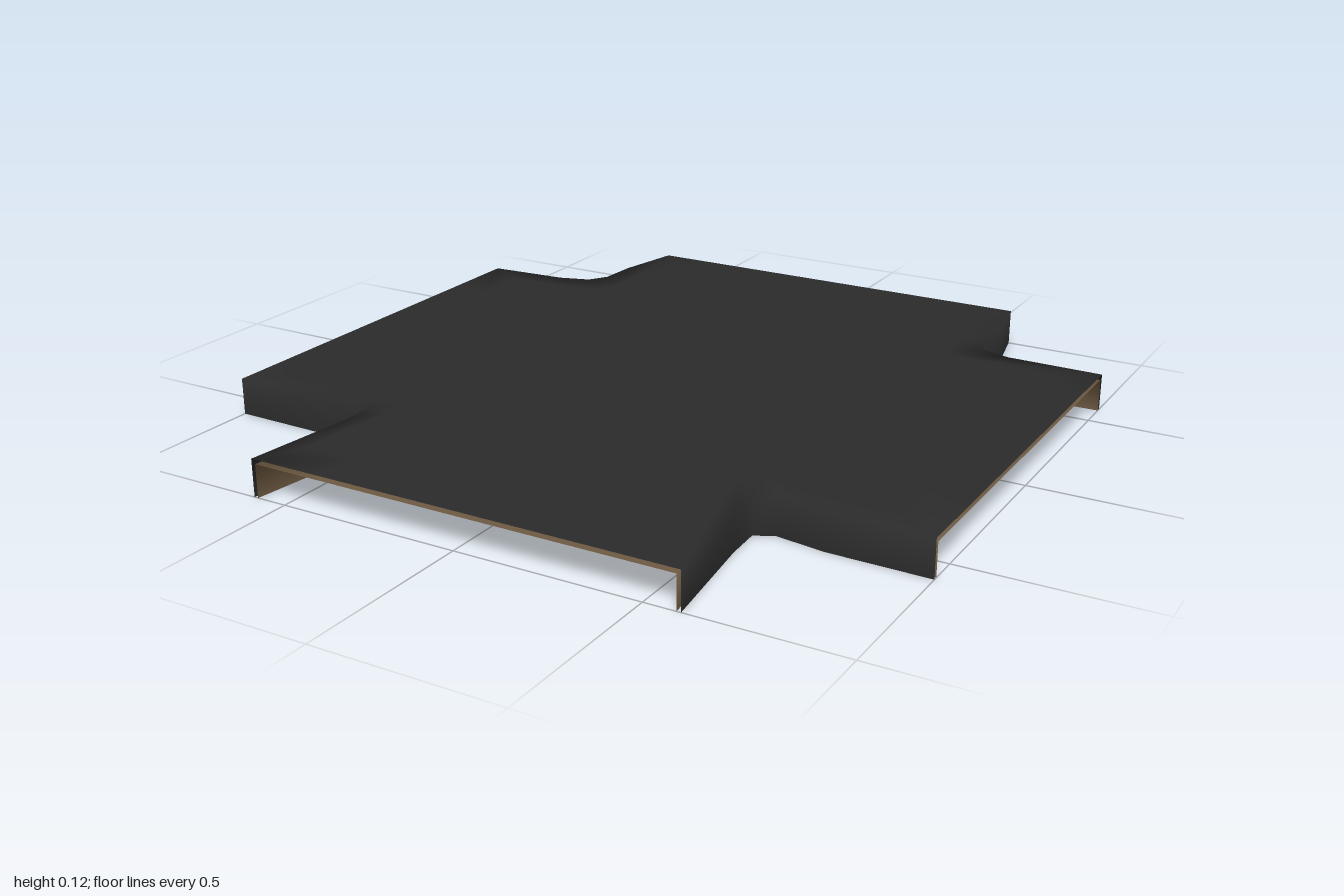
import * as THREE from 'three';

// Corner notches as [x, z], clockwise from above: back right arm corner first
const NOTCHES = [
  [[-1, -0.595], [-0.76, -0.6], [-0.67, -0.625], [-0.635, -0.68], [-0.63, -0.8], [-0.595, -1]],
  [[0.595, -1], [0.635, -0.8], [0.63, -0.68], [0.655, -0.61], [0.735, -0.59], [1, -0.595]],
  [[1, 0.59], [0.73, 0.585], [0.6, 0.565], [0.55, 0.59], [0.555, 0.69], [0.595, 1]],
  [[-0.595, 1], [-0.555, 0.69], [-0.555, 0.6], [-0.615, 0.575], [-0.75, 0.6], [-1, 0.595]],
];
const END_STEPS = 6;                       // divisions across each open arm end
const RINGS = [0.3, 0.6, 0.88, 1];         // top sheet, from the centre outwards

// Whole cross outline; wall = true where a skirt hangs below the segment
function outline(inset) {
  const pull = (v) => (Math.abs(v) === 1 ? v : v - Math.sign(v) * inset);
  const corners = NOTCHES.map((n) => n.map(([x, z]) => [pull(x), pull(z)]));
  const points = [];
  corners.forEach((notch, k) => {
    notch.forEach(([x, z], i) => points.push({ x, z, wall: i < notch.length - 1 }));
    const a = notch[notch.length - 1], b = corners[(k + 1) % 4][0];
    for (let i = 1; i < END_STEPS; i++) {
      const t = i / END_STEPS;
      points.push({ x: a[0] + (b[0] - a[0]) * t, z: a[1] + (b[1] - a[1]) * t, wall: false });
    }
  });
  return points;
}

// Slightly domed cross with skirts down to the ground along its notches
function sheet(name, color, inset, drop, faceDown) {
  const points = outline(inset), n = points.length;
  const height = (x, z) => 0.101 + 0.014 * (1 - x * x) * (1 - z * z) - drop;
  const pos = [0, height(0, 0), 0], index = [];
  const tri = (a, b, c) => (faceDown ? index.push(a, c, b) : index.push(a, b, c));

  for (const s of RINGS) {
    for (const { x, z } of points) pos.push(x * s, height(x * s, z * s), z * s);
  }
  for (const { x, z } of points) pos.push(x, 0, z);

  for (let i = 0; i < n; i++) {
    const j = (i + 1) % n;
    tri(0, 1 + j, 1 + i);
    for (let r = 0; r < RINGS.length; r++) {
      if (r === RINGS.length - 1 && !points[i].wall) continue;
      const inner = 1 + r * n, outer = inner + n;
      tri(inner + i, outer + j, outer + i);
      tri(inner + i, inner + j, outer + j);
    }
  }

  const geometry = new THREE.BufferGeometry();
  geometry.setAttribute('position', new THREE.Float32BufferAttribute(pos, 3));
  geometry.setIndex(index);
  geometry.computeVertexNormals();
  const mesh = new THREE.Mesh(geometry, new THREE.MeshStandardMaterial({ color, side: THREE.DoubleSide }));
  mesh.name = name;
  return mesh;
}

export function createModel() {
  const group = new THREE.Group();
  group.name = 'crossCover';
  group.add(sheet('outerShell', 0x2b2b2b, 0, 0, false));
  group.add(sheet('innerLining', 0x6e5a42, 0.011, 0.012, true));
  return group;
}
